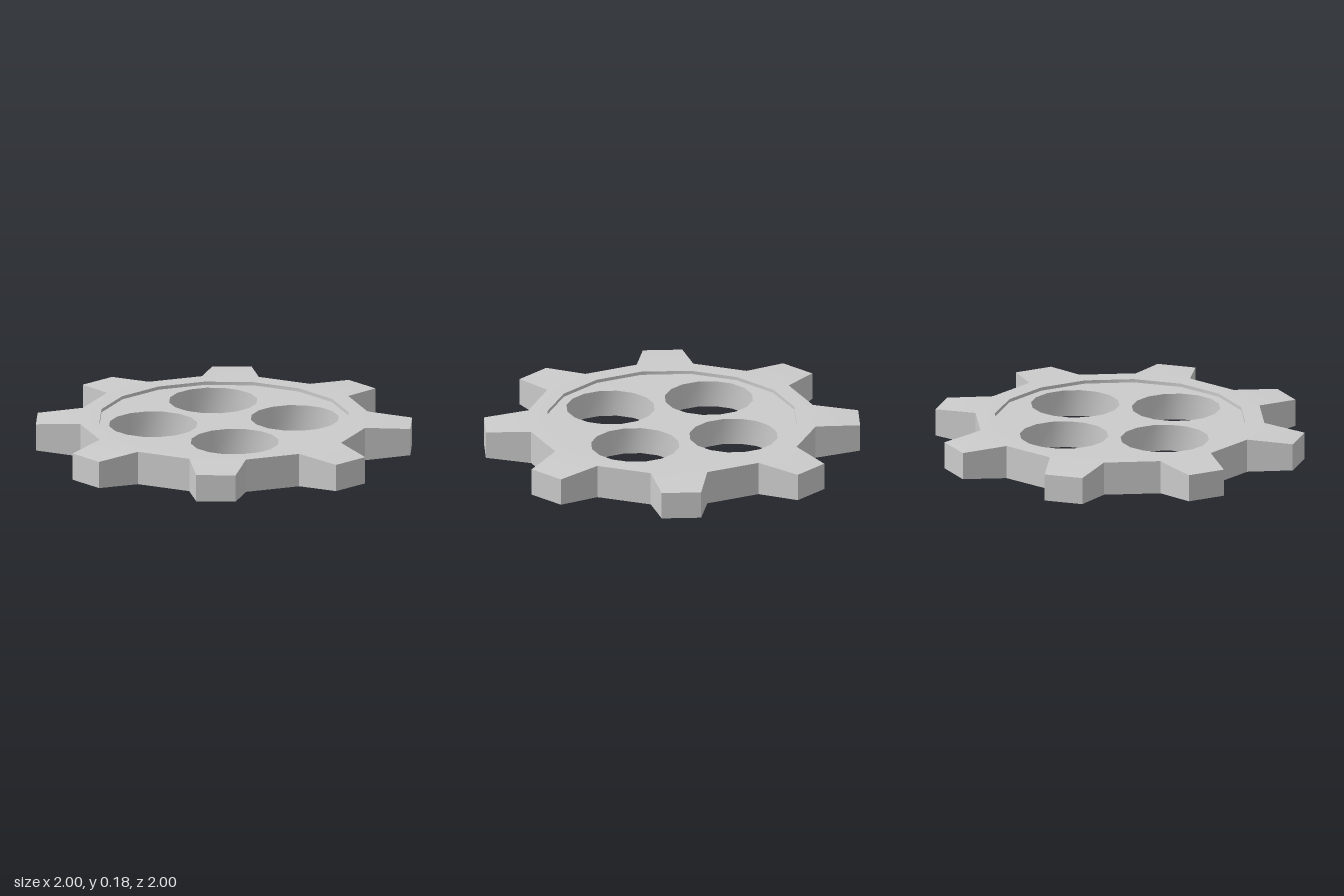
import * as THREE from 'three';
import { toCreasedNormals } from 'three/addons/utils/BufferGeometryUtils.js';

const SIDES = 16, STEP = (Math.PI * 2) / SIDES;
const HEIGHT = 0.18, RECESS = 0.018, TAPER = 0.017;
const R_INNER = 0.672, R_ROOT = 0.774, R_TIP = 1.004;
const HOLE_R = 0.237, HOLE_POS = 0.27;
const LO = RECESS, HI = HEIGHT - RECESS;

const material = new THREE.MeshStandardMaterial({ color: 0xcccccc });

// A vertical edge: plan position (angle clockwise from the back) and height range
function edge(r, a, lo = 0, hi = HEIGHT, cx = 0, cz = 0) {
  const x = cx + r * Math.sin(a), z = cz - r * Math.cos(a);
  return { lo: [x, lo, z], hi: [x, hi, z] };
}

// Collects quads and turns them into a mesh
class Surface {
  constructor() { this.pos = []; }
  quad(a, b, c, d) { this.pos.push(...a, ...b, ...c, ...a, ...c, ...d); }
  // Wall facing outwards when p to q runs clockwise from above
  wall(p, q) { this.quad(q.lo, p.lo, p.hi, q.hi); }
  // Top and bottom faces between an inner and an outer pair of edges
  caps(in0, in1, out1, out0) {
    this.quad(in0.hi, in1.hi, out1.hi, out0.hi);
    this.quad(out0.lo, out1.lo, in1.lo, in0.lo);
  }
  mesh(name) {
    const g = new THREE.BufferGeometry();
    g.setAttribute('position', new THREE.Float32BufferAttribute(this.pos, 3));
    const m = new THREE.Mesh(toCreasedNormals(g, Math.PI / 6), material);
    m.name = name;
    return m;
  }
}

// Rim with eight tapered teeth on alternate sides
function makeToothedRim() {
  const s = new Surface();
  for (let i = 0; i < SIDES; i++) {
    const a = i * STEP, b = a + STEP;
    const in0 = edge(R_INNER, a), in1 = edge(R_INNER, b);
    const out0 = edge(R_ROOT, a), out1 = edge(R_ROOT, b);
    s.caps(in0, in1, out1, out0);
    // lips above and below the recessed web
    s.wall(edge(R_INNER, b, HI, HEIGHT), edge(R_INNER, a, HI, HEIGHT));
    s.wall(edge(R_INNER, b, 0, LO), edge(R_INNER, a, 0, LO));
    if (i % 2) {
      s.wall(out0, out1);
    } else {
      const tip0 = edge(R_TIP, a + STEP * 0.23, TAPER, HEIGHT - TAPER);
      const tip1 = edge(R_TIP, a + STEP * 0.765, TAPER, HEIGHT - TAPER);
      s.caps(out0, out1, tip1, tip0);
      s.wall(out0, tip0);
      s.wall(tip0, tip1);
      s.wall(tip1, out1);
    }
  }
  return s.mesh('toothedRim');
}

// Recessed web: two flat faces pierced by four round holes
function makeWeb() {
  const web = new THREE.Group();
  web.name = 'web';
  const ring = (r, cx = 0, cy = 0) => Array.from({ length: SIDES }, (_, i) =>
    new THREE.Vector2(cx + r * Math.cos(i * STEP), cy + r * Math.sin(i * STEP)));
  const shape = new THREE.Shape(ring(R_INNER));
  const walls = new Surface();
  for (const sx of [-1, 1]) for (const sz of [-1, 1]) {
    const cx = sx * HOLE_POS, cz = sz * HOLE_POS;
    shape.holes.push(new THREE.Path(ring(HOLE_R, cx, cz)));
    for (let i = 0; i < SIDES; i++) {
      walls.wall(edge(HOLE_R, (i + 1) * STEP, LO, HI, cx, cz), edge(HOLE_R, i * STEP, LO, HI, cx, cz));
    }
  }
  for (const [name, y, turn] of [['webTop', HI, -1], ['webBottom', LO, 1]]) {
    const face = new THREE.Mesh(new THREE.ShapeGeometry(shape), material);
    face.rotation.x = turn * Math.PI / 2;
    face.position.y = y;
    face.name = name;
    web.add(face);
  }
  web.add(walls.mesh('holeWalls'));
  return web;
}

export function createModel() {
  const gear = new THREE.Group();
  gear.name = 'gear';
  gear.add(makeToothedRim(), makeWeb());
  return gear;
}
